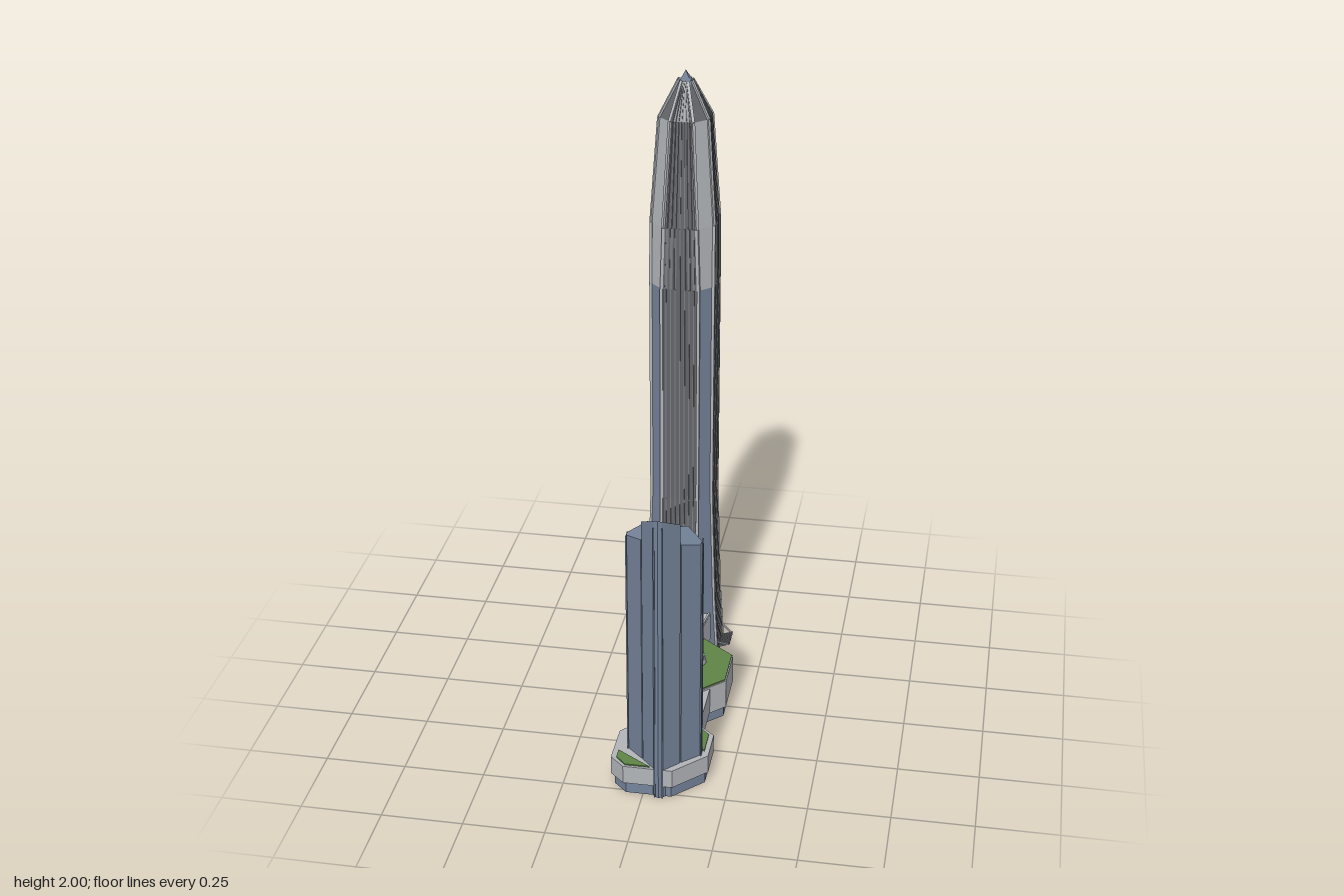
import * as THREE from 'three';
import { mergeGeometries } from 'three/addons/utils/BufferGeometryUtils.js';

const material = (name, color) => Object.assign(new THREE.MeshStandardMaterial({ color }), { name });

// Upright prism from [x, z] corners; the top may be a height or a rule of (x, z)
function prism(points, bottom, top) {
  const shape = new THREE.Shape(points.map(([x, z]) => new THREE.Vector2(x, -z)));
  const geo = new THREE.ExtrudeGeometry(shape, { depth: 1, bevelEnabled: false, steps: 1 });
  geo.rotateX(-Math.PI / 2);
  const p = geo.attributes.position;
  for (let i = 0; i < p.count; i++) {
    const high = typeof top === 'function' ? top(p.getX(i), p.getZ(i)) : top;
    p.setY(i, p.getY(i) > 0.5 ? high : bottom);
  }
  geo.computeVertexNormals();
  return geo;
}

// Square bar between two points
function bar(a, b, w, d = w) {
  const geo = new THREE.BoxGeometry(w, d, a.distanceTo(b));
  const o = new THREE.Object3D();
  o.position.copy(a).add(b).multiplyScalar(0.5);
  o.lookAt(b);
  o.updateMatrix();
  return geo.applyMatrix4(o.matrix);
}

// Strip of quads between a left and a right edge, listed upwards
function strip(left, right) {
  const v = [];
  for (let i = 0; i < left.length - 1; i++) {
    for (const q of [left[i], right[i], right[i + 1], left[i], right[i + 1], left[i + 1]]) v.push(q.x, q.y, q.z);
  }
  const geo = new THREE.BufferGeometry();
  geo.setAttribute('position', new THREE.Float32BufferAttribute(v, 3));
  geo.computeVertexNormals();
  return geo;
}

// Same geometry turned to the given quarter turns
const around = (geos, turns = [0, 1, 2, 3]) =>
  mergeGeometries(turns.flatMap(k => geos.map(g => g.clone().rotateY(k * Math.PI / 2))));

export function createModel() {
  const model = new THREE.Group();
  const mat = {
    glass: material('blue grey glass', 0x75849a),
    stone: material('light grey stone', 0xb2b5b9),
    steel: material('mid grey steel', 0x7c7e82),
    panel: material('dark grey facade', 0x626468),
    green: material('green roof', 0x5f8548),
    water: material('pool water', 0x2fa3bd),
  };
  const add = (parent, name, geo, m) => {
    const mesh = new THREE.Mesh(geo, m);
    mesh.name = name;
    parent.add(mesh);
    return mesh;
  };

  // Tall tower: [height, half depth, half width of the main face]
  const tower = new THREE.Group();
  tower.name = 'tallTower';
  tower.position.set(-0.022, 0, -0.364);
  model.add(tower);
  const levels = [[0, 0.122, 0.062], [0.2, 0.11, 0.06], [0.6, 0.098, 0.058], [1.33, 0.098, 0.058],
    [1.53, 0.097, 0.052], [1.86, 0.075, 0.035], [1.97, 0.02, 0.009]];
  const edge = u => levels.map(([y, r, w]) => new THREE.Vector3(u * w, y, r));
  const side = levels.map(([y, r, w]) => new THREE.Vector3(r, y, w));
  const path = (pts, w, d) => pts.slice(1).map((p, i) => bar(pts[i], p, w, d));

  add(tower, 'mainFacades', around([strip(edge(-1), edge(1))]), mat.panel);
  const corner = (a, b) => around([strip(edge(1).slice(a, b), side.slice(a, b))]);
  add(tower, 'cornerGlass', corner(0, 4), mat.glass);
  add(tower, 'upperCorners', corner(3, 6), mat.stone);
  add(tower, 'crownCorners', corner(5, 7), mat.panel);
  add(tower, 'cornerPiers', around([...path(edge(-1), 0.009), ...path(edge(1), 0.009)]), mat.stone);
  const fins = [];
  for (let i = -3; i <= 3; i++) fins.push(...path(edge(i / 4), 0.003, 0.008));
  add(tower, 'facadeFins', around(fins), mat.steel);
  const floor = [];
  for (let k = 0; k < 4; k++) {
    for (const [x, z] of [[-0.062, 0.122], [0.062, 0.122]]) {
      const a = k * Math.PI / 2;
      floor.push([x * Math.cos(a) + z * Math.sin(a), z * Math.cos(a) - x * Math.sin(a)]);
    }
  }
  add(tower, 'towerBase', prism(floor, 0, 0.004), mat.stone);
  const tip = new THREE.ConeGeometry(0.03, 0.04, 4).rotateY(Math.PI / 4);
  add(tower, 'tip', tip.translate(0, 1.98, 0), mat.glass);

  // Slatted entrance canopies with splayed struts on three sides
  const V = (x, y, z) => new THREE.Vector3(x, y, z);
  const slats = [];
  for (let i = -5; i <= 5; i++) slats.push(bar(V(i * 0.0072, 0.014, 0.115), V(i * 0.0072, 0.031, 0.161), 0.002, 0.004));
  const struts = [-1, 1].map(s => bar(V(s * 0.062, 0.05, 0.115), V(s * 0.038, 0.028, 0.155), 0.005));
  const open = [1, 2, 3];
  add(tower, 'canopyGlass', around([bar(V(0, 0.01, 0.11), V(0, 0.028, 0.16), 0.075, 0.003)], open), mat.glass);
  add(tower, 'canopySlats', around(slats, open), mat.steel);
  add(tower, 'canopyStruts', around(struts, open), mat.stone);

  // Short tower: four square shafts on the diagonal, each with a sloping roof
  const short = new THREE.Group();
  short.name = 'shortTower';
  model.add(short);
  const cx = 0.05, cz = 0.411, h = 0.06, cut = 0.012;
  const shafts = [
    ['frontShaft', 0, 1, d => 0.88 + 0.65 * d],
    ['leftShaft', 1, 0, d => 0.875 - 0.4 * d],
    ['rightShaft', -1, 0, d => 0.875 - 0.3 * d],
    ['backShaft', 0, -1, d => 0.67 - 0.5 * d],
  ];
  for (const [name, dx, dz, roof] of shafts) {
    const at = (d, s) => [cx + dx * d - dz * s, cz + dz * d + dx * s];
    const plan = [at(0, 0), at(h, h - 0.003), at(2 * h - cut, cut), at(2 * h - cut + 0.006, 0), at(2 * h - cut, -cut), at(h, 0.003 - h)];
    const top = (x, z) => Math.min(0.955, roof((x - cx) * dx + (z - cz) * dz));
    add(short, name, prism(plan, 0, top), mat.glass);
  }
  const mullions = [[0, 1, 0.93], [1, 0, 0.84], [-1, 0, 0.84], [0, -1, 0.63]].flatMap(([dx, dz, y]) =>
    [-1, 1].map(s => new THREE.BoxGeometry(0.004, y, 0.004)
      .translate(cx + dx * 0.112 - dz * s * cut, y / 2, cz + dz * 0.112 + dx * s * cut)));
  add(short, 'shaftEdges', mergeGeometries(mullions), mat.glass);

  // Podium under the short tower
  const podium = new THREE.Group();
  podium.name = 'podium';
  model.add(podium);
  const south = [[-0.105, 0.335], [-0.045, 0.27], [0.14, 0.27], [0.185, 0.31], [0.185, 0.42], [0.09, 0.518], [-0.06, 0.518], [-0.105, 0.475]];
  const shrink = (pts, x, z, k) => pts.map(p => [x + (p[0] - x) * k, z + (p[1] - z) * k]);
  add(podium, 'southGroundFloor', prism(shrink(south, 0.05, 0.42, 0.93).map(([x, z]) => [x, Math.max(z, 0.3)]), 0, 0.04), mat.glass);
  add(podium, 'southDeck', prism(south, 0.038, 0.098), mat.stone);

  // Raised bridge between the two podiums
  add(podium, 'bridge', prism([[-0.05, 0.1], [0.14, 0.1], [0.14, 0.275], [-0.05, 0.275]], 0.04, 0.13), mat.stone);
  add(podium, 'bridgeSkylight', prism([[0, 0.15], [0.1, 0.15], [0.1, 0.23], [0, 0.23]], 0.129, 0.134), mat.stone);

  // Podium under the tall tower, with a sloping hall on top
  const north = [[-0.11, -0.235], [0.075, -0.235], [0.075, -0.175], [0.185, -0.09], [0.185, 0.06], [0.105, 0.14], [-0.02, 0.14], [-0.095, 0.055], [-0.09, -0.05]];
  add(podium, 'northGroundFloor', prism(shrink(north, 0.02, -0.04, 0.95), 0, 0.04), mat.glass);
  add(podium, 'northDeck', prism(north, 0.038, 0.136), mat.stone);
  const slope = (x, z) => 0.152 - 0.19 * z;
  const hall = [[-0.126, -0.235], [0.088, -0.235], [0.06, -0.11], [0.105, -0.03], [0.07, 0.045], [0.02, 0.025], [-0.1, 0.058], [-0.09, -0.05]];
  add(podium, 'hall', prism(hall, 0.1, slope), mat.stone);
  add(podium, 'hallLink', prism([[-0.08, -0.27], [0.04, -0.27], [0.04, -0.225], [-0.08, -0.225]], 0, 0.198), mat.stone);

  // Roof ridges and parapets of the hall
  const on = (x, z) => V(x, slope(x, z) + 0.004, z);
  const run = pts => pts.slice(1).map((p, i) => bar(on(...pts[i]), on(...p), 0.006, 0.01));
  add(podium, 'hallRidges', mergeGeometries([
    ...run([[-0.123, -0.233], [-0.088, -0.05], [-0.098, 0.055]]),
    ...run([[0.084, -0.233], [0.056, -0.11], [0.1, -0.03], [0.068, 0.042]]),
    ...run([[-0.085, -0.01], [-0.055, -0.015], [-0.03, -0.07], [-0.04, -0.12], [-0.01, -0.13], [0.02, -0.07], [0.01, -0.04], [0.07, -0.03]]),
    ...run([[-0.09, 0.025], [0.02, 0.02]]),
    ...run([[0.03, -0.23], [0.04, -0.12]]),
  ]), mat.stone);

  // Roof gardens and pools as thin plates
  const plate = (name, pts, y, m) => add(podium, name, prism(pts, y - 0.002, y + 0.004), m);
  plate('eastGarden', [[0.077, -0.171], [0.181, -0.088], [0.181, 0.058], [0.103, 0.136], [0.01, 0.136], [0.08, 0.045], [0.107, -0.03], [0.062, -0.11]], 0.136, mat.green);
  plate('westGarden', [[-0.015, 0.075], [0.02, 0.09], [0.005, 0.115], [-0.015, 0.11]], 0.136, mat.green);
  plate('towerGarden', [[-0.075, -0.255], [0.03, -0.255], [0.03, -0.222], [-0.075, -0.222]], 0.198, mat.green);
  plate('southEastGarden', [[0.115, 0.278], [0.135, 0.278], [0.17, 0.312], [0.17, 0.4], [0.07, 0.31]], 0.098, mat.green);
  plate('southWestGarden', [[-0.088, 0.44], [0.02, 0.51], [-0.056, 0.51], [-0.088, 0.475]], 0.098, mat.green);
  plate('pool', [[-0.04, 0.278], [0.045, 0.278], [0.045, 0.295], [-0.05, 0.38], [-0.05, 0.29]], 0.098, mat.water);
  plate('poolEdge', [[-0.02, 0.262], [0.04, 0.262], [0.04, 0.274], [-0.03, 0.274]], 0.13, mat.water);
  plate('smallPool', [[0.062, 0.277], [0.108, 0.277], [0.08, 0.305], [0.062, 0.292]], 0.098, mat.water);

  return model;
}
